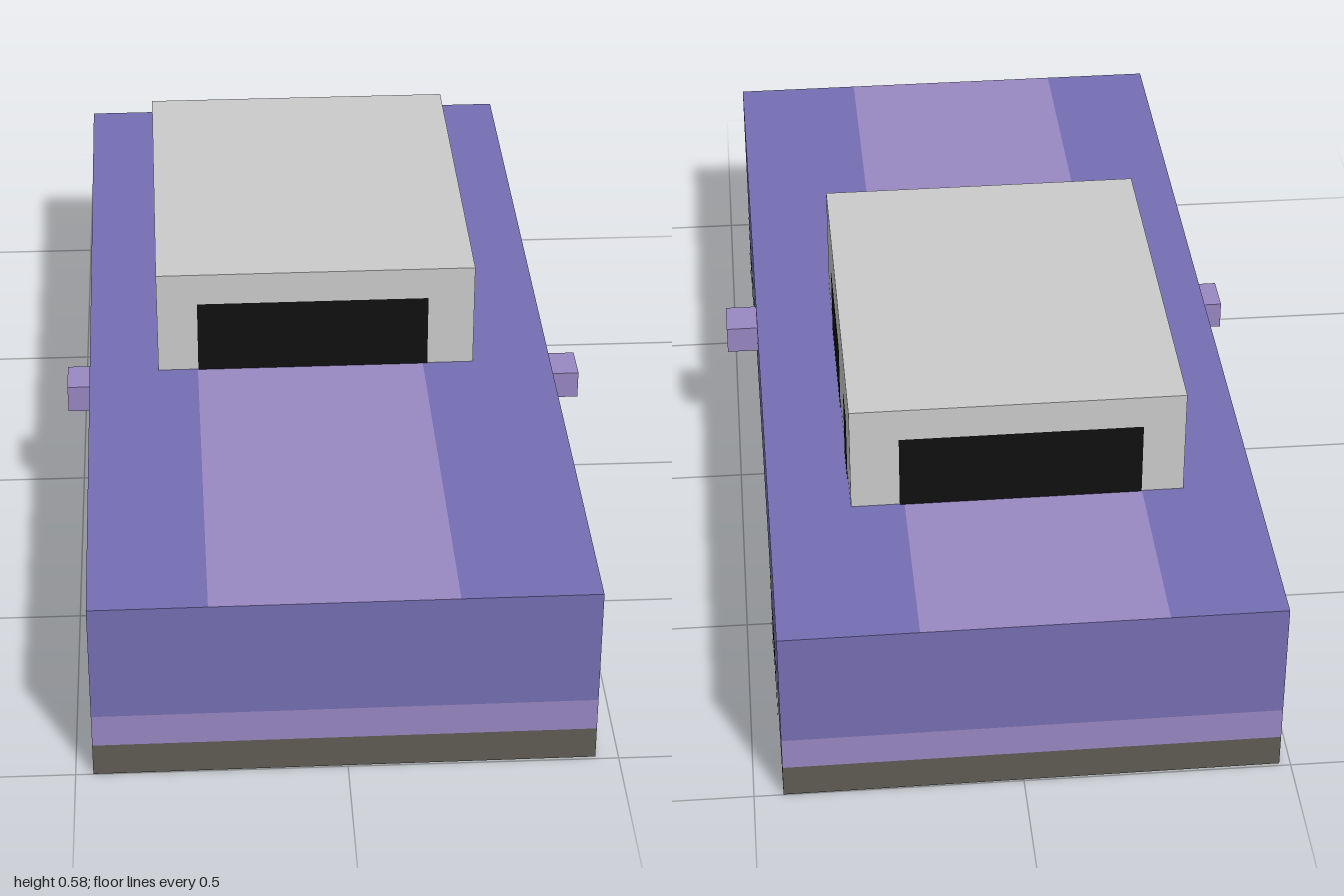
import * as THREE from 'three';

const paint = (color) => new THREE.MeshStandardMaterial({ color });
const PURPLE = paint(0x766eb3), LILAC = paint(0x9888c2), DARK = paint(0x5f5c54);
const BLACK = paint(0x101010), GREY = paint(0xcccccc);

const HALF_W = 0.4625, HALF_L = 0.9965, BODY_TOP = 0.365;
const EPS = 0.002; // lifts flat details off the surface below

export function createModel() {
  const model = new THREE.Group();
  const car = new THREE.Group();
  car.name = 'car';
  car.position.x = -0.011;
  car.rotation.y = 0.006;
  model.add(car);

  const add = (name, geometry, material, x, y, z) => {
    const mesh = new THREE.Mesh(geometry, material);
    mesh.name = name;
    mesh.position.set(x, y, z);
    car.add(mesh);
    return mesh;
  };
  const plane = (w, h) => new THREE.PlaneGeometry(w, h);

  // Upright panel facing +x or -x, spanning z0..z1 and y0..y1
  const sidePanel = (name, material, side, x, z0, z1, y0, y1) => {
    add(name, plane(z1 - z0, y1 - y0), material, x, (y0 + y1) / 2, (z0 + z1) / 2)
      .rotation.y = side * Math.PI / 2;
  };
  // Upright panel facing +z or -z, spanning x0..x1 and y0..y1
  const endPanel = (name, material, end, z, x0, x1, y0, y1) => {
    add(name, plane(x1 - x0, y1 - y0), material, (x0 + x1) / 2, (y0 + y1) / 2, z)
      .rotation.y = end > 0 ? 0 : Math.PI;
  };

  // Body walls in three horizontal bands
  const bands = [
    ['sill', DARK, 0, 0.065],
    ['trimBand', LILAC, 0.065, 0.13],
    ['bodyWall', PURPLE, 0.13, BODY_TOP],
  ];
  for (const [name, material, y0, y1] of bands) {
    for (const s of [1, -1]) {
      sidePanel(name, material, s, s * HALF_W, -HALF_L, HALF_L, y0, y1);
      endPanel(name, material, s, s * HALF_L, -HALF_W, HALF_W, y0, y1);
    }
  }

  // Deck and underside, each with a pale lengthwise stripe
  const strips = [
    ['Edge', PURPLE, -HALF_W, -0.246],
    ['Stripe', LILAC, -0.246, 0.206],
    ['Edge', PURPLE, 0.206, HALF_W],
  ];
  for (const [name, material, x0, x1] of strips) {
    const x = (x0 + x1) / 2;
    add('deck' + name, plane(x1 - x0, 2 * HALF_L), material, x, BODY_TOP, 0).rotation.x = -Math.PI / 2;
    add('underside' + name, plane(x1 - x0, 2 * HALF_L), material, x, 0, 0).rotation.x = Math.PI / 2;
  }

  // Cabin
  const cabX = -0.009, cabZ = -0.22, cabW = 0.632, cabL = 0.786, cabH = 0.215;
  add('cabin', new THREE.BoxGeometry(cabW, cabH, cabL), GREY, cabX, BODY_TOP + cabH / 2, cabZ);

  for (const s of [1, -1]) {
    // Windows
    const winTop = 0.515;
    endPanel(s > 0 ? 'windshield' : 'rearWindow', BLACK, s, cabZ + s * (cabL / 2 + EPS),
      -0.245, 0.215, BODY_TOP, winTop);
    const winX = cabX + s * (cabW / 2 + EPS);
    sidePanel('frontSideWindow', BLACK, s, winX, -0.30, -0.013, BODY_TOP, winTop);
    sidePanel('rearSideWindow', BLACK, s, winX, -0.537, -0.442, BODY_TOP, winTop);

    // Square wheels with hubs
    const front = s > 0 ? [0.513, 0.773, 0.608, 0.70] : [0.52, 0.805, 0.618, 0.705];
    for (const [z0, z1, h0, h1] of [front, [-0.80, -0.535, -0.705, -0.623]]) {
      sidePanel('wheel', BLACK, s, s * (HALF_W + EPS), z0, z1, 0, 0.195);
      sidePanel('hub', GREY, s, s * (HALF_W + 2 * EPS), h0, h1, 0.065, 0.13);
    }

    // Wing mirrors
    const reach = s > 0 ? 0.525 : 0.509;
    add('wingMirror', new THREE.BoxGeometry(reach - HALF_W, 0.056, 0.081), LILAC,
      s * (HALF_W + reach) / 2, 0.293, 0.117);
  }
  return model;
}
